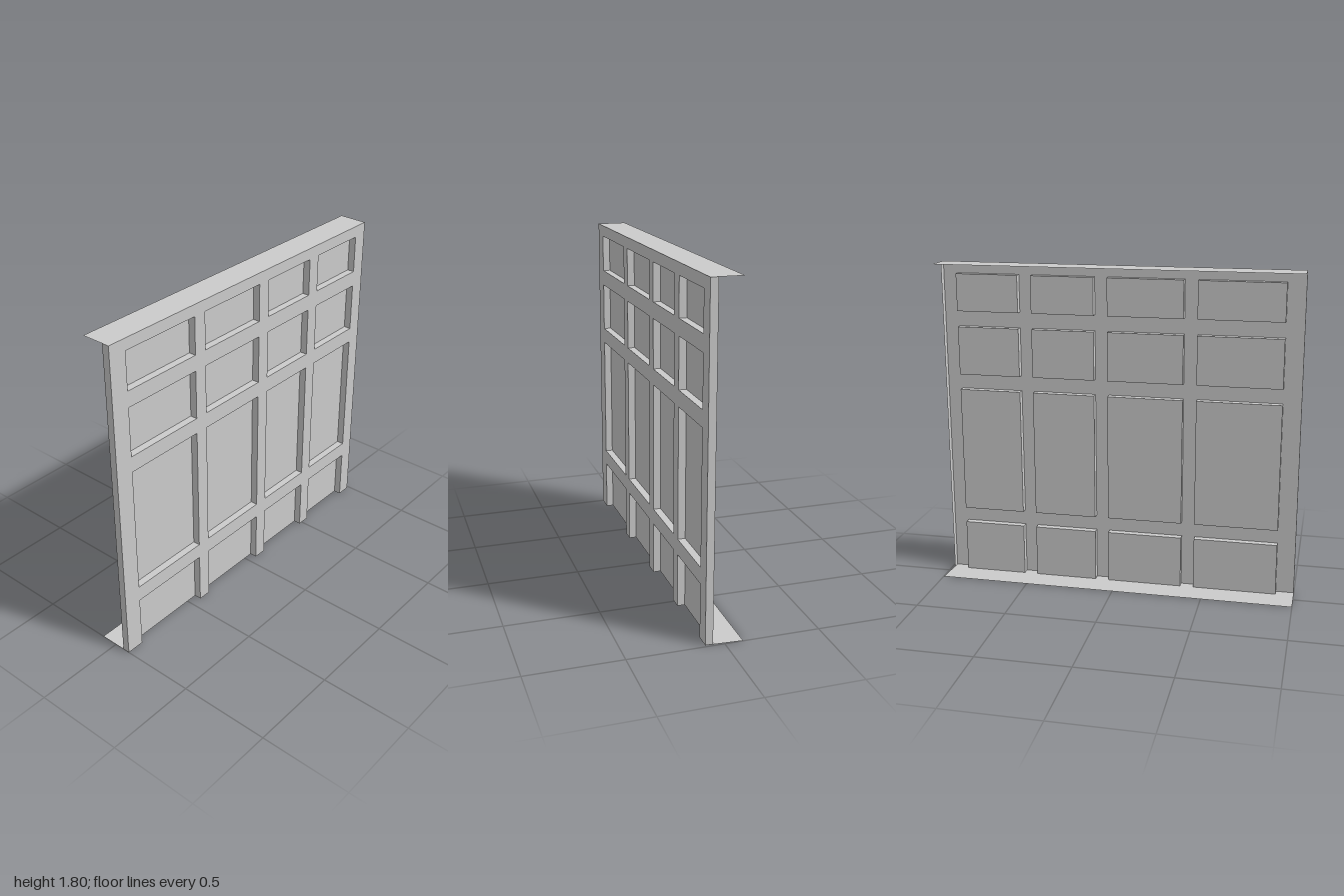
import * as THREE from 'three';

const H = 1.8, LEFT = -1, RIGHT = 0.986;
const FRONT = 0.096, BACK = 0.056, DEPTH = FRONT - BACK;
const COLS = [[-0.9, -0.437], [-0.363, 0.054], [0.129, 0.479], [0.554, 0.903]];
const ROWS = [[0, 0.29], [0.377, 1.085], [1.172, 1.442], [1.53, 1.737]];

// The wall leans very slightly sideways with height
function lean(geometry) {
  const p = geometry.attributes.position;
  for (let i = 0; i < p.count; i++) p.setX(i, p.getX(i) + 0.007 * p.getY(i) / H);
  geometry.computeVertexNormals();
  return geometry;
}

// Adds the notched edge left by the open bottom recesses, from left to right
function notchedEdge(points, outer, inner) {
  points.push([LEFT, outer]);
  for (const [a, b] of COLS) points.push([a, outer], [a, inner], [b, inner], [b, outer]);
  points.push([RIGHT, outer]);
  return points;
}

const toShape = (points) => new THREE.Shape(points.map(([x, y]) => new THREE.Vector2(x, y)));

// Box without its front face, and without its floor when it is open below
function recessGeometry([x0, x1], [y0, y1]) {
  const g = new THREE.BoxGeometry(x1 - x0, y1 - y0, DEPTH);
  g.translate((x0 + x1) / 2, (y0 + y1) / 2, (FRONT + BACK) / 2);
  const index = Array.from(g.index.array);
  g.setIndex(index.filter((_, i) => {
    const face = Math.floor(i / 6); // +x, -x, +y, -y, +z, -z
    return face !== 4 && !(face === 3 && y0 === 0);
  }));
  g.clearGroups();
  return g;
}

export function createModel() {
  const model = new THREE.Group();
  model.name = 'panelledWall';
  const material = new THREE.MeshStandardMaterial({ color: 0xcccccc, side: THREE.DoubleSide, flatShading: true });

  const add = (name, geometry, parent = model) => {
    const mesh = new THREE.Mesh(lean(geometry), material);
    mesh.name = name;
    parent.add(mesh);
  };

  // Front sheet with openings
  const face = toShape([...notchedEdge([], 0, ROWS[0][1]), [RIGHT, H], [LEFT, H]]);
  for (const [y0, y1] of ROWS.slice(1)) {
    for (const [x0, x1] of COLS) {
      face.holes.push(toShape([[x0, y0], [x0, y1], [x1, y1], [x1, y0]]));
    }
  }
  add('frontSheet', new THREE.ShapeGeometry(face).translate(0, 0, FRONT));

  // Recessed panels pressed back from the sheet
  const panels = new THREE.Group();
  panels.name = 'recessedPanels';
  model.add(panels);
  for (const row of ROWS) for (const col of COLS) add('recessedPanel', recessGeometry(col, row), panels);

  // Side returns
  for (const [name, x] of [['leftReturn', RIGHT], ['rightReturn', LEFT]]) {
    add(name, new THREE.PlaneGeometry(DEPTH, H).rotateY(x > 0 ? Math.PI / 2 : -Math.PI / 2)
      .translate(x, H / 2, (FRONT + BACK) / 2));
  }

  // Top ledge, running back from the sheet
  const top = toShape([[LEFT, FRONT], [RIGHT, FRONT], [0.99, -0.065], [LEFT, -0.065]]);
  add('topLedge', new THREE.ShapeGeometry(top).rotateX(Math.PI / 2).translate(0, H, 0));

  // Bottom ledge, deeper, its front edge following the recesses
  const bottom = toShape([...notchedEdge([], FRONT, BACK), [0.998, -0.096], [LEFT, -0.096]]);
  add('bottomLedge', new THREE.ShapeGeometry(bottom).rotateX(Math.PI / 2));

  return model;
}
